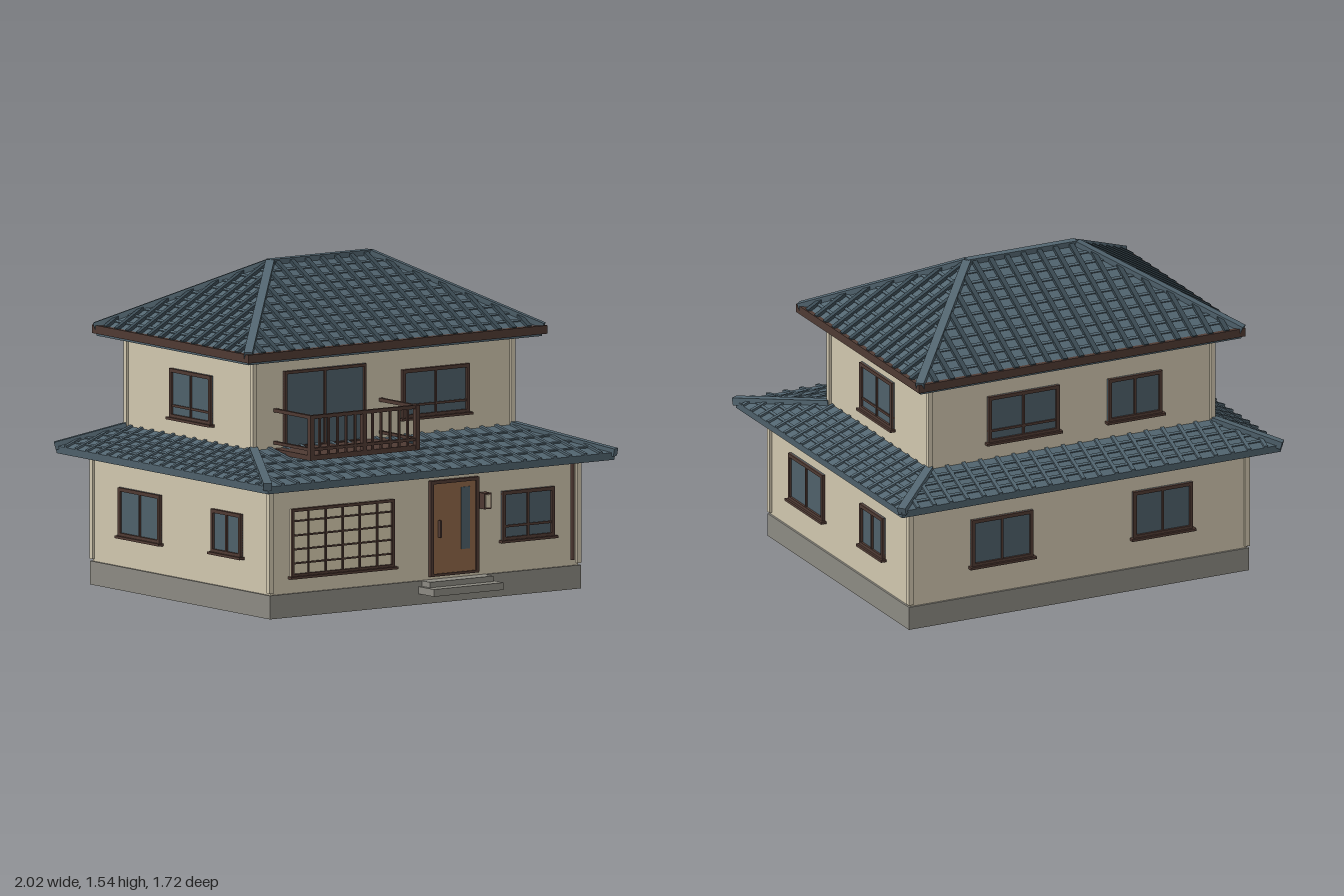
import * as THREE from 'three';
import { mergeGeometries } from 'three/addons/utils/BufferGeometryUtils.js';

const mat = (name, color) => {
  const m = new THREE.MeshStandardMaterial({ color });
  m.name = name;
  return m;
};

export function createModel() {
  const wall = mat('cream plaster', 0xd0c6ae);
  const stone = mat('grey stone', 0x8c8a82);
  const slate = mat('slate tile', 0x526570);
  const darkSlate = mat('dark slate', 0x3a4a53);
  const brown = mat('dark brown timber', 0x4f3a33);
  const wood = mat('door wood', 0x8f6748);
  const glass = mat('window glass', 0x4e606a);
  const paper = mat('screen paper', 0xd8cdb0);

  const house = new THREE.Group();
  house.name = 'house';

  const group = (name, parent = house) => {
    const g = new THREE.Group();
    g.name = name;
    parent.add(g);
    return g;
  };
  const mesh = (name, geo, material, parent = house) => {
    const m = new THREE.Mesh(geo, material);
    m.name = name;
    parent.add(m);
    return m;
  };
  // Box given by its min and max on each axis
  const box = (name, material, x0, x1, y0, y1, z0, z1, parent = house) => {
    const m = mesh(name, new THREE.BoxGeometry(x1 - x0, y1 - y0, z1 - z0), material, parent);
    m.position.set((x0 + x1) / 2, (y0 + y1) / 2, (z0 + z1) / 2);
    return m;
  };

  // Storeys, with slim corner boards
  const storey = (name, x, z0, z1, y0, y1) => {
    box(name + 'Walls', wall, -x, x, y0, y1, z0, z1);
    for (const cx of [-x, x]) for (const cz of [z0, z1])
      box(name + 'CornerBoard', wall, cx - 0.012, cx + 0.012, y0 + 0.015, y1 - 0.01, cz - 0.012, cz + 0.012);
  };
  box('foundation', stone, -0.885, 0.885, 0, 0.11, -0.715, 0.715);
  storey('ground', 0.875, -0.705, 0.705, 0.105, 0.62);
  storey('upper', 0.735, -0.63, 0.375, 0.66, 1.17);

  // ---- Roofs ----
  const rect = (x, z0, z1, y) =>
    [[-x, z1], [x, z1], [x, z0], [-x, z0]].map(([px, pz]) => new THREE.Vector3(px, y, pz));

  // Solid skinned through a stack of rectangles
  const stack = (loops) => {
    const pts = [];
    const quad = (a, b, c, d) => pts.push(a, b, c, a, c, d);
    for (let k = 0; k + 1 < loops.length; k++)
      for (let i = 0; i < 4; i++) {
        const j = (i + 1) % 4;
        quad(loops[k][i], loops[k][j], loops[k + 1][j], loops[k + 1][i]);
      }
    const b = loops[0], t = loops[loops.length - 1];
    quad(b[0], b[3], b[2], b[1]);
    quad(t[0], t[1], t[2], t[3]);
    const geo = new THREE.BufferGeometry().setFromPoints(pts);
    geo.computeVertexNormals();
    return geo;
  };

  // Bar lying on a surface with the given normal
  const bar = (a, b, normal, w, h) => {
    const dir = b.clone().sub(a);
    const geo = new THREE.BoxGeometry(w, h, dir.length());
    const z = dir.normalize();
    const x = normal.clone().cross(z).normalize();
    const m = new THREE.Matrix4().makeBasis(x, z.clone().cross(x), z);
    m.setPosition(a.clone().add(b).multiplyScalar(0.5));
    return geo.applyMatrix4(m);
  };

  const hipRoof = (name, base, eave, top, o) => {
    const g = group(name);
    mesh('roofBody', stack([base, eave, top]), slate, g);
    const ribs = [], courses = [], hips = [];
    const up = new THREE.Vector3(0, 1, 0);
    for (let i = 0; i < 4; i++) {
      const j = (i + 1) % 4;
      const [A, B, TA, TB] = [eave[i], eave[j], top[i], top[j]];
      const L = A.distanceTo(B);
      const dir = B.clone().sub(A).normalize();
      const inA = TA.clone().sub(A).dot(dir), inB = B.clone().sub(TB).dot(dir);
      const rise = TA.clone().sub(A).addScaledVector(dir, -inA);
      const normal = dir.clone().cross(rise).normalize();
      const n = Math.round(L / o.spacing);
      // Tile ribs run up the slope and stop at the hips
      for (let k = 1; k < n; k++) {
        const u = (k / n) * L;
        const s = Math.min(1, u / inA, (L - u) / inB);
        const foot = A.clone().addScaledVector(dir, u);
        ribs.push(bar(foot, foot.clone().addScaledVector(rise, s), normal, o.ribW, o.ribH));
      }
      // Tile courses run across the slope
      for (let k = 1; k < o.rows; k++) {
        const s = k / o.rows;
        courses.push(bar(A.clone().lerp(TA, s), B.clone().lerp(TB, s), normal, 0.014, 0.012));
      }
      hips.push(bar(A, TA, up, 0.04, 0.036));
    }
    if (o.ridge) {
      const a = top[0].clone().lerp(top[3], 0.5), b = top[1].clone().lerp(top[2], 0.5);
      hips.push(bar(a, b, up, 0.04, 0.036));
    }
    mesh('tileRibs', mergeGeometries(ribs), o.ribMaterial, g);
    mesh('tileCourses', mergeGeometries(courses), slate, g);
    mesh('hipCaps', mergeGeometries(hips), slate, g);
    return g;
  };

  hipRoof('lowerRoof', rect(0.985, -0.84, 0.84, 0.607), rect(0.99, -0.845, 0.845, 0.642),
    rect(0.735, -0.63, 0.375, 0.738),
    { spacing: 0.085, rows: 5, ribW: 0.018, ribH: 0.02, ribMaterial: slate });
  const upperRoof = hipRoof('upperRoof', rect(0.835, -0.733, 0.475, 1.156), rect(0.84, -0.738, 0.48, 1.2),
    rect(0.285, -0.135, -0.121, 1.52),
    { spacing: 0.085, rows: 11, ribW: 0.024, ribH: 0.03, ribMaterial: darkSlate, ridge: true });
  for (const s of [-1, 1]) {
    box('fascia', brown, -0.85, 0.85, 1.168, 1.207, -0.143 + s * 0.607 + 0.003, -0.113 + s * 0.607 + 0.003, upperRoof);
    const x = s * 0.835;
    box('fascia', brown, x - 0.015, x + 0.015, 1.168, 1.207, -0.747, 0.49, upperRoof);
  }

  // ---- Windows: built facing +z, then turned onto a wall ----
  const faces = {
    front: (u, d) => [u, d, 0], back: (u, d) => [u, -d, Math.PI],
    left: (u, d) => [d, u, Math.PI / 2], right: (u, d) => [-d, u, -Math.PI / 2],
  };
  const windowAt = (name, face, d, u, w, y0, y1, o = {}) => {
    const { cols = 2, bars = [], sill = true, pane = glass, edge = 0.017, thin = 0.011 } = o;
    const g = group(name);
    const [x, z, turn] = faces[face](u, d);
    g.position.set(x, 0, z);
    g.rotation.y = turn;
    const h = w / 2;
    box('pane', pane, -h, h, y0, y1, -0.003, 0.006, g);
    for (const s of [-1, 1])
      box('jamb', brown, s * (h - edge / 2) - edge / 2, s * (h - edge / 2) + edge / 2, y0, y1, -0.005, 0.017, g);
    box('head', brown, -h, h, y1 - edge, y1, -0.005, 0.017, g);
    box('bottomRail', brown, -h, h, y0, y0 + edge, -0.005, 0.017, g);
    for (let k = 1; k < cols; k++) {
      const c = -h + (k / cols) * w;
      box('mullion', brown, c - thin / 2, c + thin / 2, y0, y1, -0.003, 0.014, g);
    }
    for (const b of bars) box('glazingBar', brown, -h, h, b - thin / 2, b + thin / 2, -0.003, 0.012, g);
    if (sill) box('sill', brown, -h - 0.011, h + 0.011, y0 - 0.009, y0 + 0.003, -0.005, 0.028, g);
    return g;
  };
  const gx = 0.875, gz = 0.705, ux = 0.735;
  windowAt('latticeWindow', 'front', gz, -0.47, 0.585, 0.187, 0.505,
    { cols: 6, bars: [0.25, 0.315, 0.38, 0.447], pane: paper, thin: 0.008, edge: 0.014 });
  windowAt('frontWindow', 'front', gz, 0.585, 0.295, 0.258, 0.49, { bars: [0.325] });
  windowAt('balconyDoor', 'front', 0.375, -0.335, 0.465, 0.73, 1.095, { sill: false, edge: 0.014 });
  windowAt('upperFrontWindow', 'front', 0.375, 0.295, 0.38, 0.818, 1.047, { bars: [0.877] });

  windowAt('sideWindow', 'left', gx, 0.325, 0.345, 0.252, 0.48);
  windowAt('smallSideWindow', 'left', gx, -0.34, 0.235, 0.262, 0.465);
  windowAt('upperSideWindow', 'left', ux, -0.115, 0.325, 0.82, 1.05, { bars: [0.877] });
  windowAt('sideWindow', 'right', gx, -0.32, 0.33, 0.252, 0.48);
  windowAt('smallSideWindow', 'right', gx, 0.37, 0.235, 0.262, 0.465);
  windowAt('upperSideWindow', 'right', ux, -0.11, 0.325, 0.82, 1.05, { bars: [0.877] });

  windowAt('backWindow', 'back', gz, 0.4, 0.32, 0.255, 0.485);
  windowAt('backWindow', 'back', gz, -0.435, 0.31, 0.255, 0.485);
  windowAt('upperBackWindow', 'back', 0.63, 0.25, 0.37, 0.82, 1.047, { bars: [0.877] });
  windowAt('upperBackWindow', 'back', 0.63, -0.33, 0.28, 0.82, 1.03);

  // ---- Front door, steps, lamp and downpipe ----
  const door = group('frontDoor');
  box('doorPanel', wood, 0.035, 0.29, 0.128, 0.56, 0.7, 0.718, door);
  box('doorGlass', glass, 0.2, 0.25, 0.24, 0.53, 0.715, 0.721, door);
  box('doorHandle', brown, 0.071, 0.081, 0.305, 0.385, 0.715, 0.735, door);
  for (const x of [0.024, 0.283]) box('doorJamb', brown, x, x + 0.016, 0.128, 0.572, 0.7, 0.727, door);
  box('doorHead', brown, 0.024, 0.299, 0.556, 0.572, 0.7, 0.727, door);
  box('threshold', brown, 0.024, 0.299, 0.124, 0.136, 0.7, 0.725, door);

  box('upperStep', stone, -0.02, 0.34, 0.083, 0.11, 0.7, 0.78);
  box('lowerStep', stone, -0.038, 0.36, 0.05, 0.084, 0.7, 0.835);

  const lamp = group('wallLamp');
  box('lampBody', brown, 0.31, 0.35, 0.42, 0.495, 0.7, 0.75, lamp);
  box('lampFace', paper, 0.316, 0.344, 0.428, 0.487, 0.745, 0.754, lamp);

  const pipe = mesh('downpipe', new THREE.CylinderGeometry(0.01, 0.01, 0.47, 10), brown);
  pipe.position.set(0.826, 0.375, 0.73);

  // ---- Balcony ----
  const balcony = group('balcony');
  box('balconyFloor', brown, -0.622, -0.002, 0.714, 0.738, 0.37, 0.67, balcony);
  for (const [y, t] of [[0.908, 0.017], [0.758, 0.014]]) {
    box('frontRail', brown, -0.622, -0.002, y, y + t, 0.65, 0.67, balcony);
    for (const x of [-0.622, -0.02]) box('sideRail', brown, x, x + 0.018, y, y + t, 0.37, 0.66, balcony);
  }
  for (const x of [-0.612, -0.312, -0.012])
    box('railPost', brown, x - 0.011, x + 0.011, 0.72, 0.925, 0.648, 0.672, balcony);
  for (let k = 1; k < 12; k++) {
    const x = -0.612 + k * 0.05;
    box('baluster', brown, x - 0.005, x + 0.005, 0.735, 0.912, 0.655, 0.665, balcony);
  }
  return house;
}
